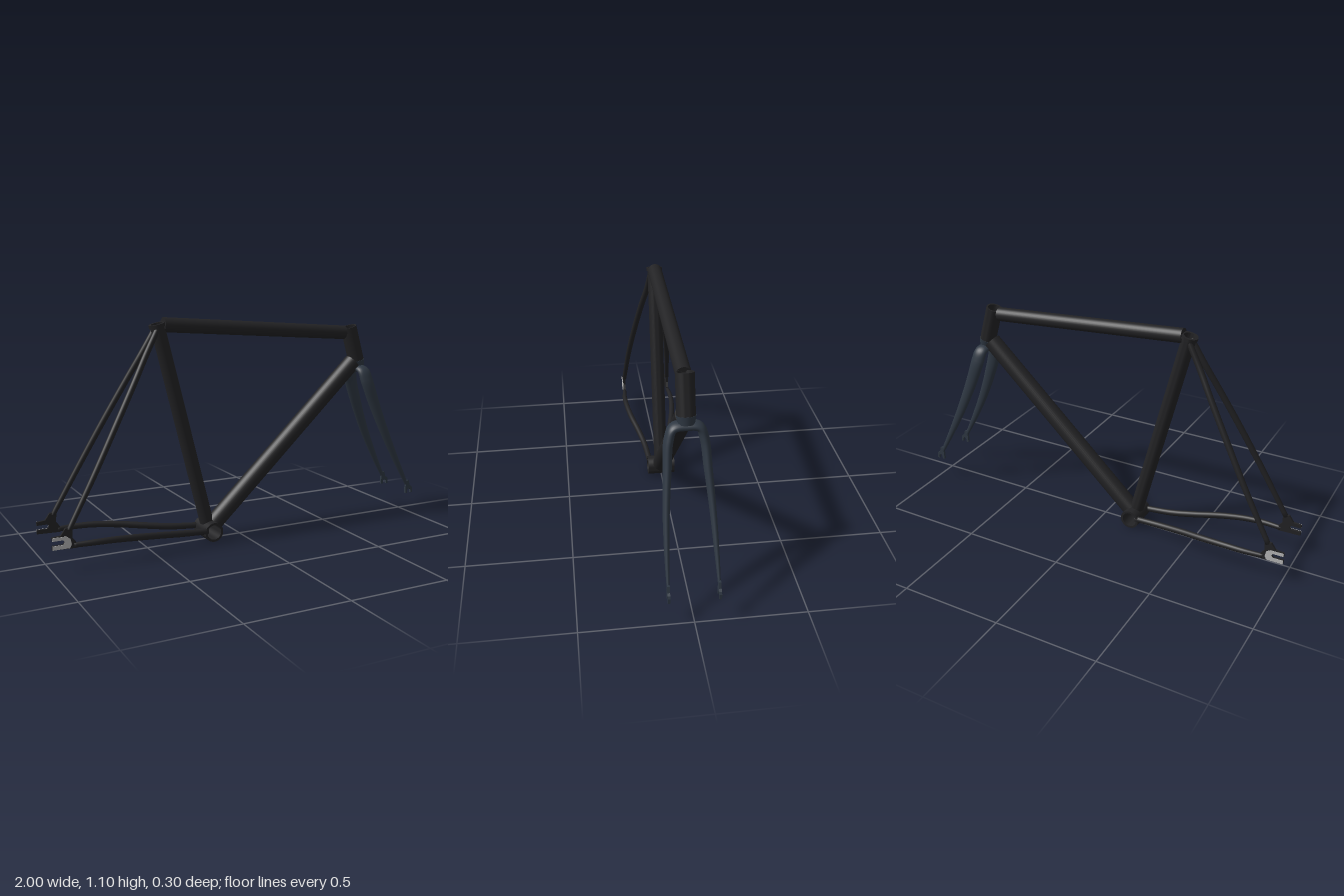
import * as THREE from 'three';
import { toCreasedNormals } from 'three/addons/utils/BufferGeometryUtils.js';

const V = (x, y, z = 0) => new THREE.Vector3(x, y, z);
const material = (color) => new THREE.MeshStandardMaterial({ color });

// Hollow straight tube between two points
function hollowTube(a, b, outer, inner) {
  const h = a.distanceTo(b);
  const profile = [[inner, 0], [outer, 0], [outer, h], [inner, h], [inner, 0]].map(([x, y]) => new THREE.Vector2(x, y));
  const geo = toCreasedNormals(new THREE.LatheGeometry(profile, 32), 0.7);
  geo.applyQuaternion(new THREE.Quaternion().setFromUnitVectors(V(0, 1, 0), b.clone().sub(a).normalize()));
  return geo.translate(a.x, a.y, a.z);
}

// Solid straight tube between two points
function solidTube(a, b, rA, rB = rA) {
  const geo = new THREE.CylinderGeometry(rB, rA, a.distanceTo(b), 32);
  geo.applyQuaternion(new THREE.Quaternion().setFromUnitVectors(V(0, 1, 0), b.clone().sub(a).normalize()));
  const mid = a.clone().add(b).multiplyScalar(0.5);
  return geo.translate(mid.x, mid.y, mid.z);
}

// Oval section swept along a curve; each station is [x, y, z, radius along ref, other radius]
function sweep(stations, ref, steps = 48, sides = 18) {
  const curve = new THREE.CatmullRomCurve3(stations.map(([x, y, z]) => V(x, y, z)));
  const pos = [], index = [];
  for (let i = 0; i <= steps; i++) {
    const t = i / steps, f = t * (stations.length - 1);
    const k = Math.min(Math.floor(f), stations.length - 2);
    const rad = (n) => THREE.MathUtils.lerp(stations[k][n], stations[k + 1][n], f - k);
    const p = curve.getPoint(t), T = curve.getTangent(t);
    const S = ref.clone().addScaledVector(T, -ref.dot(T)).normalize();
    const N = T.clone().cross(S);
    for (let j = 0; j < sides; j++) {
      const a = (j / sides) * Math.PI * 2;
      const q = p.clone().addScaledVector(S, Math.cos(a) * rad(3)).addScaledVector(N, Math.sin(a) * rad(4));
      pos.push(q.x, q.y, q.z);
    }
  }
  for (let i = 0; i < steps; i++) {
    for (let j = 0; j < sides; j++) {
      const a = i * sides + j, b = i * sides + (j + 1) % sides;
      index.push(a, b, a + sides, b, b + sides, a + sides);
    }
  }
  // End caps
  const last = steps * sides;
  for (let j = 1; j < sides - 1; j++) {
    index.push(0, j + 1, j, last, last + j, last + j + 1);
  }
  const geo = new THREE.BufferGeometry();
  geo.setAttribute('position', new THREE.Float32BufferAttribute(pos, 3));
  geo.setIndex(index);
  geo.computeVertexNormals();
  return geo;
}

// Flat plate centred on the given z
function plate(points, thickness, z) {
  const shape = new THREE.Shape(points.map(([x, y]) => new THREE.Vector2(x, y)));
  return new THREE.ExtrudeGeometry(shape, { depth: thickness, bevelEnabled: false }).translate(0, 0, z - thickness / 2);
}

export function createModel() {
  const model = new THREE.Group();
  const frameMat = material(0x222224), forkMat = material(0x2e3742), steelMat = material(0xb4b4b4);
  const add = (name, geo, mat = frameMat) => {
    const mesh = new THREE.Mesh(geo, mat);
    mesh.name = name;
    model.add(mesh);
  };

  // Main triangle
  const bb = V(-0.174, 0.048), seatTop = V(-0.43, 1.072);
  const headTop = V(0.637, 1.02), headLow = V(0.69, 0.837), downEnd = V(0.665, 0.835);
  const along = (a, b, d) => a.clone().addScaledVector(b.clone().sub(a).normalize(), d);
  add('bottomBracketShell', hollowTube(V(bb.x, bb.y, -0.07), V(bb.x, bb.y, 0.07), 0.048, 0.037));
  add('seatTube', hollowTube(along(bb, seatTop, 0.04), seatTop, 0.034, 0.028));
  add('seatCollar', hollowTube(along(seatTop, bb, 0.012), along(seatTop, bb, -0.004), 0.04, 0.028));
  add('downTube', solidTube(along(bb, downEnd, 0.04), downEnd, 0.044));
  add('topTube', solidTube(V(-0.4, 1.07), V(0.607, 0.992), 0.035));
  add('headTube', hollowTube(headLow, headTop, 0.041, 0.033));

  // Fork crown and legs, swept from one tip over the crown to the other
  const leg = [
    [0.966, 0.16, 0.11, 0.009, 0.006],
    [0.9, 0.285, 0.107, 0.016, 0.011],
    [0.82, 0.45, 0.1, 0.024, 0.015],
    [0.75, 0.62, 0.087, 0.031, 0.019],
    [0.709, 0.74, 0.076, 0.036, 0.021],
    [0.698, 0.793, 0.055, 0.035, 0.02],
  ];
  const otherLeg = leg.map(([x, y, z, a, b]) => [x, y, -z, a, b]).reverse();
  add('forkLegs', sweep([...leg, [0.696, 0.801, 0, 0.035, 0.02], ...otherLeg], V(1, 0, 0), 120, 24), forkMat);
  add('forkCrownRace', solidTube(V(0.697, 0.808), V(0.688, 0.845), 0.036, 0.043), forkMat);

  // Outlines of the dropouts
  const forkTip = [
    [0.958, 0.185], [0.974, 0.185], [0.982, 0.157], [0.994, 0.15], [1, 0.138], [1, 0.115], [0.988, 0.115],
    [0.988, 0.132], [0.978, 0.142], [0.967, 0.132], [0.967, 0.115], [0.955, 0.115], [0.955, 0.142],
  ];
  const slot = [[-1, 0.107], [-1, 0.126], [-0.95, 0.126], [-0.942, 0.137], [-0.95, 0.148], [-1, 0.148], [-1, 0.164]];
  const rearTip = [...slot, [-0.96, 0.168], [-0.937, 0.2], [-0.905, 0.2], [-0.908, 0.155], [-0.89, 0.13], [-0.89, 0.103]];
  const rearFace = [...slot, [-0.935, 0.163], [-0.917, 0.15], [-0.912, 0.125], [-0.92, 0.107]];

  for (const [side, s] of [['left', 1], ['right', -1]]) {
    add(side + 'ForkDropout', plate(forkTip, 0.012, s * 0.11), forkMat);

    // Rear triangle
    add(side + 'SeatStay', sweep([
      [-0.432, 1.055, s * 0.016, 0.014, 0.014],
      [-0.5, 0.935, s * 0.03, 0.015, 0.015],
      [-0.565, 0.82, s * 0.053, 0.015, 0.015],
      [-0.68, 0.617, s * 0.086, 0.015, 0.015],
      [-0.79, 0.42, s * 0.111, 0.014, 0.014],
      [-0.92, 0.19, s * 0.129, 0.012, 0.012],
    ], V(0, 0, 1)));
    add(side + 'ChainStay', sweep([
      [-0.205, 0.055, s * 0.057, 0.015, 0.014],
      [-0.35, 0.067, s * 0.067, 0.016, 0.015],
      [-0.47, 0.083, s * 0.087, 0.016, 0.015],
      [-0.6, 0.101, s * 0.115, 0.016, 0.015],
      [-0.72, 0.113, s * 0.132, 0.015, 0.014],
      [-0.81, 0.116, s * 0.136, 0.014, 0.013],
      [-0.9, 0.116, s * 0.13, 0.012, 0.01],
    ], V(0, 1, 0)));
    add(side + 'RearDropout', plate(rearTip, 0.012, s * 0.129), frameMat);
    add(side + 'DropoutFace', plate(rearFace, 0.003, s * 0.1365), steelMat);
  }
  return model;
}
